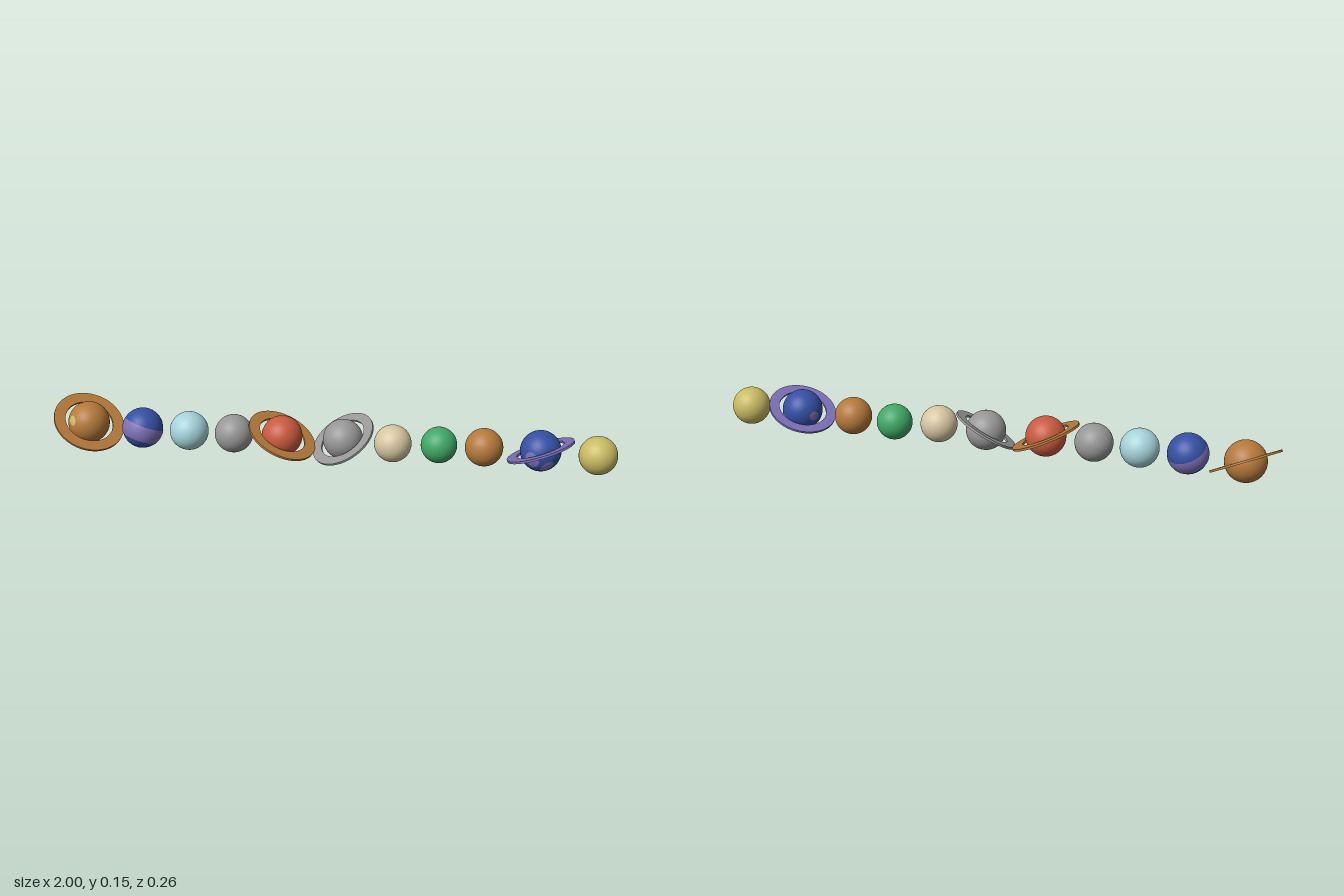
import * as THREE from 'three';

const paint = (name, color) => new THREE.MeshStandardMaterial({ name, color });

export function createModel() {
  const yellow = paint('yellow', 0xc9bb62);
  const brown = paint('brown', 0xb5793a);
  const blue = paint('blue', 0x3450a4);
  const purple = paint('purple', 0x7c70b6);
  const cyan = paint('cyan', 0xa5d3da);
  const grey = paint('grey', 0x989797);
  const red = paint('red', 0xc85a3e);
  const beige = paint('beige', 0xd6c5a2);
  const green = paint('green', 0x40a866);

  const model = new THREE.Group();
  model.name = 'planetRow';
  const up = new THREE.Vector3(0, 1, 0);

  const add = (parent, name, geometry, material) => {
    const mesh = new THREE.Mesh(geometry, material);
    mesh.name = name;
    parent.add(mesh);
    return mesh;
  };
  const aim = (object, dir) =>
    object.quaternion.setFromUnitVectors(up, new THREE.Vector3(...dir).normalize());

  // Flat ring lying across the given axis
  const ring = (planet, outer, inner, material, axis) => {
    const shape = new THREE.Shape().absarc(0, 0, outer, 0, Math.PI * 2, false);
    shape.holes.push(new THREE.Path().absarc(0, 0, inner, 0, Math.PI * 2, true));
    const depth = 0.008;
    const geometry = new THREE.ExtrudeGeometry(shape, { depth, bevelEnabled: false, curveSegments: 64 });
    geometry.translate(0, 0, -depth / 2).rotateX(-Math.PI / 2);
    aim(add(planet, 'ring', geometry, material), axis);
  };

  // Thin round patch on the surface, stretched sideways
  const patch = (planet, radius, material, dir, angle, stretch = 1) => {
    const geometry = new THREE.SphereGeometry(radius + 0.001, 32, 8, 0, Math.PI * 2, 0, angle);
    const p = geometry.attributes.position;
    const v = new THREE.Vector3();
    for (let i = 0; i < p.count; i++) {
      v.fromBufferAttribute(p, i);
      v.z *= stretch;
      v.setLength(radius + 0.001);
      p.setXYZ(i, v.x, v.y, v.z);
    }
    geometry.computeVertexNormals();
    aim(add(planet, 'surfacePatch', geometry, material), dir);
  };

  // Planets: name, x, y, z, radius, colour
  const planets = [
    ['ringedBrownPlanet', -0.885, 0.08, -0.014, 0.074, brown],
    ['bandedPlanet', -0.684, 0.077, 0, 0.072, blue],
    ['cyanPlanet', -0.515, 0.077, 0, 0.069, cyan],
    ['greyPlanet', -0.353, 0.077, 0, 0.068, grey],
    ['ringedRedPlanet', -0.18, 0.079, 0, 0.072, red],
    ['ringedGreyPlanet', 0.037, 0.078, -0.005, 0.071, grey],
    ['beigePlanet', 0.214, 0.077, 0.003, 0.066, beige],
    ['greenPlanet', 0.375, 0.073, -0.015, 0.064, green],
    ['brownPlanet', 0.533, 0.076, -0.012, 0.067, brown],
    ['ringedBluePlanet', 0.73, 0.077, -0.01, 0.072, blue],
    ['yellowPlanet', 0.929, 0.07, -0.014, 0.068, yellow],
  ];
  const byName = {};
  for (const [name, x, y, z, radius, material] of planets) {
    const planet = new THREE.Group();
    planet.name = name;
    planet.position.set(x, y, z);
    add(planet, 'globe', new THREE.SphereGeometry(radius, 48, 32), material);
    model.add(planet);
    byName[name] = planet;
  }

  // Rings
  ring(byName.ringedBrownPlanet, 0.128, 0.087, brown, [0.39, 0.853, 0.345]);
  ring(byName.ringedRedPlanet, 0.126, 0.086, brown, [0.42, 0.9, 0.12]);
  ring(byName.ringedGreyPlanet, 0.12, 0.085, grey, [-0.45, 0.845, 0.29]);
  ring(byName.ringedBluePlanet, 0.122, 0.086, purple, [-0.34, 0.91, -0.22]);

  // Tilted purple belt
  const deg = Math.PI / 180;
  const belt = new THREE.SphereGeometry(0.073, 48, 12, 0, Math.PI * 2, 77 * deg, 45 * deg);
  aim(add(byName.bandedPlanet, 'belt', belt, purple), [0.3, 0.88, -0.3]);

  // Surface patches
  patch(byName.ringedBrownPlanet, 0.074, yellow, [-0.6, 0.36, 0.7], 0.2, 1.3);
  for (const [dir, angle, stretch] of [
    [[-0.4, -0.1, 0.9], 0.35, 1.2],
    [[0.35, -0.5, 0.8], 0.3, 1.4],
    [[0.6, -0.5, -0.6], 0.42, 1.2],
    [[-0.75, -0.05, -0.5], 0.25, 1],
  ]) patch(byName.ringedBluePlanet, 0.072, purple, dir, angle, stretch);

  return model;
}
